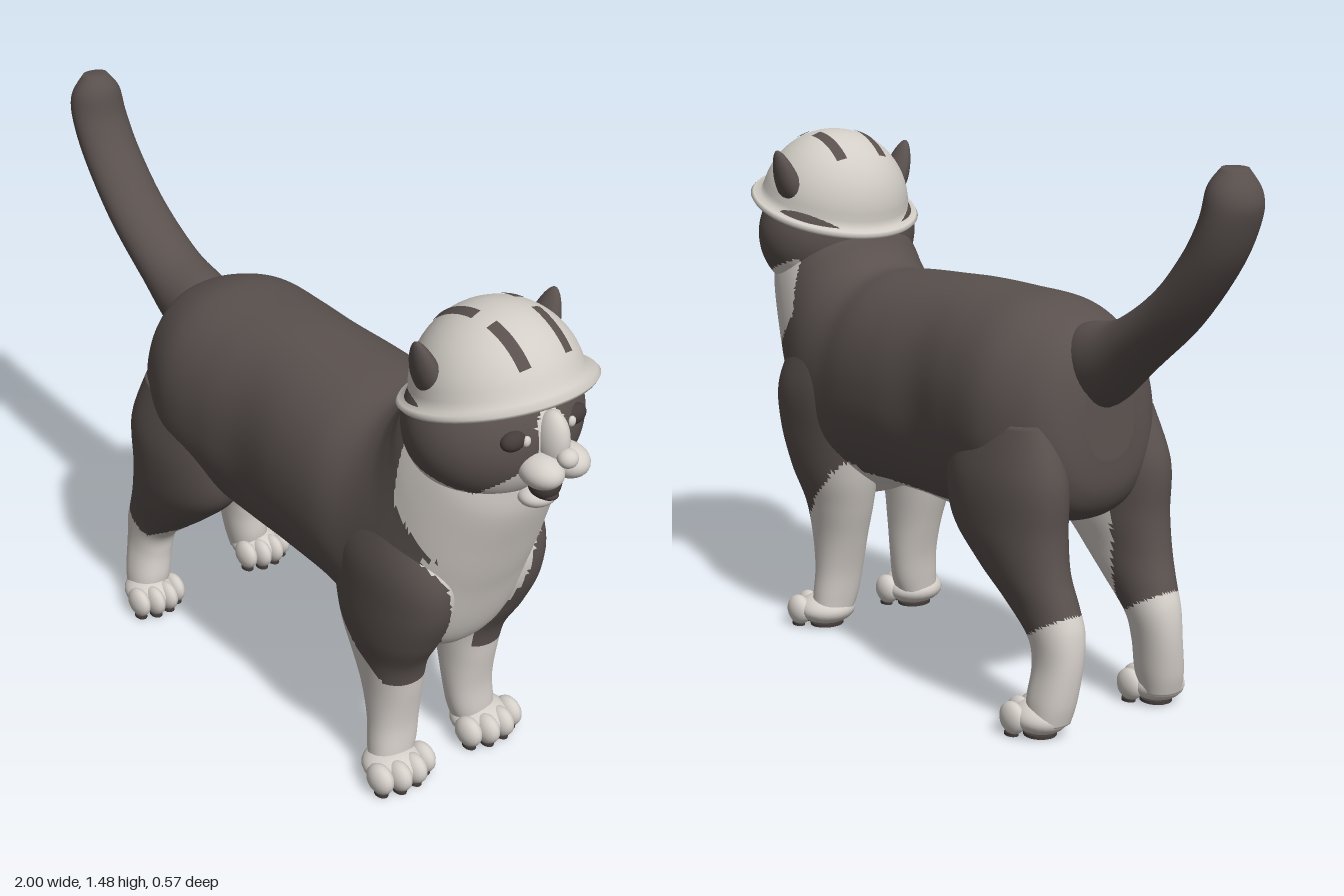
import * as THREE from 'three';

const mat = (name, color, side = THREE.FrontSide) => {
  const m = new THREE.MeshStandardMaterial({ color, side });
  m.name = name;
  return m;
};

// Piecewise linear lookup in [key, value] pairs with rising keys
function lookup(pairs, k) {
  if (k <= pairs[0][0]) return pairs[0][1];
  for (let i = 1; i < pairs.length; i++) {
    const [k0, v0] = pairs[i - 1], [k1, v1] = pairs[i];
    if (k <= k1) return v0 + (v1 - v0) * (k - k0) / (k1 - k0);
  }
  return pairs[pairs.length - 1][1];
}

// Smooth skin through rings; each row is [ax, ay, bx, by, halfWidth, zCentre]
function loft(rows, steps = 8, sides = 72, power = 0.9) {
  const rings = [];
  const n = rows.length;
  for (let i = 0; i < n - 1; i++) {
    const p = [rows[Math.max(i - 1, 0)], rows[i], rows[i + 1], rows[Math.min(i + 2, n - 1)]];
    for (let s = 0; s < steps + (i === n - 2 ? 1 : 0); s++) {
      const t = s / steps;
      rings.push(rows[0].map((_, k) => {
        const [a, b, c, d] = p.map((r) => r[k]);
        return b + 0.5 * t * (c - a + t * (2 * a - 5 * b + 4 * c - d + t * (3 * (b - c) + d - a)));
      }));
    }
  }
  // Close both ends at the ring centre
  const cap = ([ax, ay, bx, by, , z]) => [(ax + bx) / 2, (ay + by) / 2, (ax + bx) / 2, (ay + by) / 2, 0, z];
  rings.unshift(cap(rings[0]));
  rings.push(cap(rings[rings.length - 1]));

  const pos = [], idx = [];
  const soft = (v) => Math.sign(v) * Math.abs(v) ** power;
  rings.forEach(([ax, ay, bx, by, w, z], i) => {
    for (let j = 0; j < sides; j++) {
      const a = j / sides * Math.PI * 2, c = soft(Math.cos(a)), s = soft(Math.sin(a));
      pos.push((ax + bx) / 2 + (ax - bx) / 2 * c, (ay + by) / 2 + (ay - by) / 2 * c, z + w * s);
      if (i < rings.length - 1) {
        const p = i * sides + j, q = i * sides + (j + 1) % sides;
        idx.push(p, q, p + sides, q, q + sides, p + sides);
      }
    }
  });
  const g = new THREE.BufferGeometry();
  g.setAttribute('position', new THREE.Float32BufferAttribute(pos, 3));
  g.setIndex(idx);
  g.computeVertexNormals();
  return g;
}

const ball = (x, y, z, rx, ry, rz, seg = 24) =>
  new THREE.SphereGeometry(1, seg, Math.round(seg * 0.7)).scale(rx, ry, rz).translate(x, y, z);

// Where the coat is white
const bibEdge = [[0.4, 0.08], [0.55, 0.115], [0.7, 0.15], [0.78, 0.21]];
const blazeEdge = [[1.0, 0.15], [1.04, 0.13], [1.1, 0.06], [1.15, 0.035], [1.19, 0.045], [1.25, 0]];
function isWhite(x, y, z) {
  z = Math.abs(z);
  const jaw = 1.08 - (x - 0.62) * 0.35;
  if (y > jaw) return x > 0.8 && y < 1.25 && z < lookup(blazeEdge, y);
  if (x > 0.36) {
    if (y > 0.92) return x > 0.62;
    if (y > 0.78) return x > 0.62 + (0.92 - y) * 0.85;
    if (y < Math.min(0.53, 0.33 + Math.max(0, 0.58 - x) * 1.1)) return true;
    return x > 0.5 && z < lookup(bibEdge, y);
  }
  if (x < -0.3 && y < 0.26 + 0.6 * Math.abs(x + 0.45)) return true;
  if (x < -0.1) return x > -0.42 && y < 0.54 && z < 0.13;
  return y < 0.505 && z < 0.22;
}

// Sort faces into dark and white groups
function paint(g) {
  const p = g.attributes.position, ix = g.index.array, sets = [[], []];
  for (let i = 0; i < ix.length; i += 3) {
    const t = [ix[i], ix[i + 1], ix[i + 2]];
    const mean = (f) => (f(t[0]) + f(t[1]) + f(t[2])) / 3;
    const white = isWhite(mean((v) => p.getX(v)), mean((v) => p.getY(v)), mean((v) => p.getZ(v)));
    sets[white ? 1 : 0].push(...t);
  }
  g.setIndex([...sets[0], ...sets[1]]);
  g.addGroup(0, sets[0].length, 0);
  g.addGroup(sets[0].length, sets[1].length, 1);
  return g;
}

export function createModel() {
  const model = new THREE.Group();
  model.name = 'catWithHelmet';
  const dark = mat('darkFur', 0x5a514e);
  const white = mat('whiteFur', 0xd6d0ca);
  const shell = mat('helmetShell', 0xd2cdc6, THREE.DoubleSide);
  const deep = mat('deepBrown', 0x443c3a, THREE.DoubleSide);
  const add = (name, g, m, parent = model) => {
    const mesh = new THREE.Mesh(g, m);
    mesh.name = name;
    parent.add(mesh);
    return mesh;
  };
  const coat = [dark, white];

  // Trunk and neck: back line, belly line, half width
  add('body', paint(loft([
    [-0.5, 0.93, -0.515, 0.7, 0.08, 0], [-0.46, 1.0, -0.5, 0.6, 0.16, 0],
    [-0.4, 1.045, -0.44, 0.53, 0.215, 0], [-0.28, 1.085, -0.3, 0.5, 0.262, 0],
    [-0.12, 1.09, -0.13, 0.48, 0.258, 0], [0.03, 1.09, 0.0, 0.46, 0.245, 0],
    [0.18, 1.08, 0.16, 0.465, 0.258, 0], [0.32, 1.07, 0.36, 0.45, 0.262, 0],
    [0.42, 1.06, 0.52, 0.39, 0.25, 0], [0.47, 1.08, 0.68, 0.45, 0.24, 0],
    [0.5, 1.11, 0.77, 0.66, 0.225, 0], [0.52, 1.14, 0.82, 0.8, 0.215, 0],
    [0.55, 1.17, 0.86, 0.92, 0.2, 0], [0.6, 1.2, 0.87, 1.0, 0.18, 0],
  ], 8, 120)), coat);

  // Tail, from tip to root
  add('tail', loft([
    [-0.905, 1.483, -0.965, 1.478, 0.035, 0], [-0.875, 1.44, -0.995, 1.42, 0.07, 0],
    [-0.855, 1.36, -0.99, 1.36, 0.08, 0], [-0.8, 1.27, -0.93, 1.24, 0.083, 0],
    [-0.7, 1.165, -0.8, 1.08, 0.086, 0], [-0.55, 1.07, -0.65, 0.95, 0.09, 0],
    [-0.42, 1.04, -0.52, 0.84, 0.095, 0], [-0.32, 1.0, -0.42, 0.82, 0.07, 0],
  ], 6, 32, 1), dark);

  // Legs, from top to paw: front edge, rear edge, half width, sideways centre
  const frontRows = [
    [0.66, 0.88, 0.4, 0.88, 0.07, 0.15], [0.74, 0.72, 0.36, 0.74, 0.1, 0.155],
    [0.74, 0.6, 0.36, 0.6, 0.105, 0.15], [0.69, 0.48, 0.38, 0.48, 0.1, 0.145],
    [0.635, 0.38, 0.41, 0.38, 0.085, 0.137], [0.615, 0.28, 0.445, 0.28, 0.074, 0.132],
    [0.6, 0.18, 0.475, 0.18, 0.07, 0.132], [0.6, 0.1, 0.49, 0.1, 0.068, 0.14],
    [0.6, 0.04, 0.5, 0.04, 0.06, 0.152],
  ];
  const hindRows = [
    [-0.12, 0.78, -0.46, 0.8, 0.07, 0.17], [-0.1, 0.64, -0.515, 0.66, 0.1, 0.172],
    [-0.12, 0.52, -0.515, 0.52, 0.1, 0.172], [-0.22, 0.42, -0.53, 0.42, 0.085, 0.172],
    [-0.33, 0.33, -0.56, 0.34, 0.072, 0.165], [-0.42, 0.25, -0.58, 0.28, 0.064, 0.163],
    [-0.44, 0.18, -0.585, 0.2, 0.058, 0.168], [-0.44, 0.1, -0.575, 0.1, 0.06, 0.182],
    [-0.45, 0.04, -0.56, 0.04, 0.055, 0.19],
  ];
  const disc = (x, z, rx, rz) =>
    new THREE.CylinderGeometry(1, 1, 0.008, 20).scale(rx, 1, rz).translate(x, 0.004, z);
  for (const side of [1, -1]) {
    const tag = side > 0 ? 'Left' : 'Right';
    for (const [kind, rows, px, pz, k] of [['front', frontRows, 0.57, 0.157, 1], ['hind', hindRows, -0.48, 0.198, 0.85]]) {
      const leg = new THREE.Group();
      leg.name = kind + tag + 'Leg';
      model.add(leg);
      add('leg', paint(loft(rows.map((r) => [...r.slice(0, 5), r[5] * side]), 8, 64)), coat, leg);
      const z = pz * side;
      add('paw', ball(px, 0.05, z, 0.08, 0.045, 0.085 * k), white, leg);
      add('solePad', disc(px, z, 0.045, 0.05 * k), deep, leg);
      for (const [dz, dx] of [[-0.073, 0.035], [-0.026, 0.055], [0.026, 0.055], [0.073, 0.035]]) {
        add('toe', ball(px + dx, 0.047, z + dz * k, 0.046, 0.043, 0.029 * k, 16), white, leg);
        add('toePad', disc(px + dx + 0.005, z + dz * k, 0.022, 0.016), deep, leg);
      }
    }
  }

  // Head
  const head = new THREE.Group();
  head.name = 'head';
  model.add(head);
  add('skull', paint(ball(0.72, 1.13, 0, 0.2, 0.2, 0.237, 110)), coat, head);
  add('noseBridge', ball(0.918, 1.15, 0, 0.05, 0.075, 0.036), white, head);
  add('nose', ball(0.972, 1.122, 0, 0.026, 0.024, 0.026), white, head);
  add('mouth', ball(0.905, 1.025, 0, 0.04, 0.045, 0.042), deep, head);
  add('tongue', ball(0.915, 0.998, 0, 0.03, 0.012, 0.025), deep, head);
  add('chin', ball(0.885, 0.985, 0, 0.045, 0.03, 0.055), white, head);
  for (const s of [1, -1]) {
    add('whiskerPad', ball(0.93, 1.085, 0.042 * s, 0.062, 0.042, 0.05), white, head);
    add('eye', ball(0.888, 1.168, 0.098 * s, 0.025, 0.027, 0.036), deep, head);
    add('eyeGlint', ball(0.908, 1.165, 0.073 * s, 0.009, 0.014, 0.012, 12), white, head);

    // Ear poking through the helmet, narrowing to its tip
    const ear = ball(0, 0, 0, 0.045, 0.085, 0.03);
    const p = ear.attributes.position;
    for (let i = 0; i < p.count; i++) {
      const f = 1 - 3.5 * p.getY(i);
      p.setX(i, p.getX(i) * f);
      p.setZ(i, p.getZ(i) * f);
    }
    ear.computeVertexNormals();
    ear.rotateX(0.35 * s).translate(0.685, 1.302, 0.193 * s);
    add('ear', ear, dark, head);
  }

  // Helmet dome with rolled brim
  const helmet = new THREE.Group();
  helmet.name = 'helmet';
  helmet.position.set(0.73, 1.213, 0);
  model.add(helmet);
  const R = 0.213;
  const profile = [[0.214, -0.01], [0.238, -0.012], [0.245, -0.003], [0.238, 0.006], [0.218, 0.008]];
  for (let i = 1; i <= 16; i++) {
    const a = 0.04 + (Math.PI / 2 - 0.04) * i / 16;
    profile.push([Math.max(0, R * Math.cos(a)), R * Math.sin(a)]);
  }
  add('dome', new THREE.LatheGeometry(profile.map(([x, y]) => new THREE.Vector2(x, y)), 64).rotateZ(0.285), shell, helmet);

  // Dark slots lying on the dome
  for (const s of [1, -1]) {
    for (const [a0, a1] of [[0.2, 0.88], [-0.8, -0.06]]) {
      const t = s > 0 ? Math.acos(0.083 / R) : Math.acos(-0.054 / R);
      const span = Math.acos(0.054 / R) - Math.acos(0.083 / R);
      const slot = new THREE.SphereGeometry(R + 0.003, 14, 2, 1.5 * Math.PI - a1, a1 - a0, t, span);
      add('slot', slot.rotateX(Math.PI / 2), dark, helmet);
    }
  }
  return model;
}
